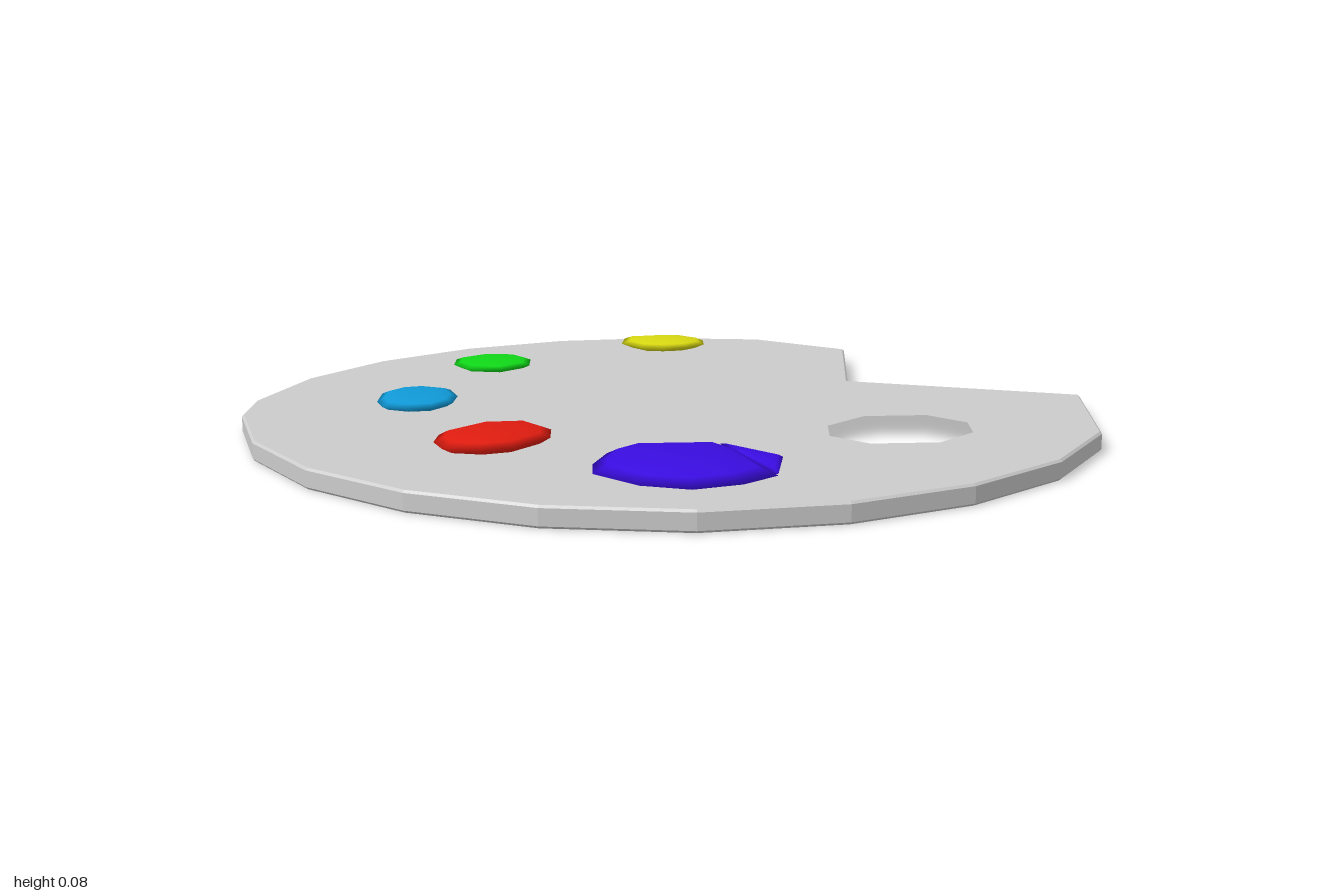
import * as THREE from 'three';

// Corner lists are [x, z] pairs as seen from above.
const OUTLINE = [
  [0, -0.95], [0.29, -0.91], [0.52, -0.73], [0.46, -0.26], [1, -0.06], [0.93, 0.35],
  [0.77, 0.6], [0.55, 0.785], [0.29, 0.905], [0, 0.95], [-0.29, 0.905], [-0.55, 0.785],
  [-0.765, 0.6], [-0.92, 0.355], [-1, 0.08], [-1, -0.08], [-0.92, -0.36], [-0.765, -0.6],
  [-0.545, -0.79], [-0.285, -0.91],
];
const THUMB_HOLE = [
  [0.43, 0.16], [0.58, 0.155], [0.66, 0.24], [0.65, 0.345],
  [0.555, 0.44], [0.4, 0.445], [0.32, 0.365], [0.33, 0.26],
];

// Paint dabs: widest outline plus bottom, rim and top heights
const PAINTS = [
  { name: 'yellowPaint', color: 0xd8d812, y: [0.055, 0.067, 0.081], ring: [
    [-0.1, -0.81], [0.01, -0.835], [0.06, -0.83], [0.12, -0.77], [0.12, -0.7],
    [0.07, -0.65], [0, -0.635], [-0.06, -0.65], [-0.11, -0.72]] },
  { name: 'greenPaint', color: 0x10d818, y: [0.04, 0.053, 0.065], ring: [
    [-0.49, -0.63], [-0.4, -0.62], [-0.36, -0.56], [-0.36, -0.47], [-0.43, -0.4],
    [-0.52, -0.42], [-0.56, -0.49], [-0.56, -0.57]] },
  { name: 'lightBluePaint', color: 0x109ad8, y: [0.04, 0.055, 0.068], ring: [
    [-0.61, -0.175], [-0.54, -0.14], [-0.515, -0.06], [-0.52, 0.02], [-0.56, 0.08],
    [-0.62, 0.09], [-0.68, 0.06], [-0.7, 0], [-0.7, -0.1], [-0.66, -0.16]] },
  { name: 'redPaint', color: 0xe01c10, y: [0.04, 0.058, 0.076], ring: [
    [-0.43, 0.27], [-0.33, 0.26], [-0.28, 0.33], [-0.28, 0.41], [-0.35, 0.5],
    [-0.42, 0.525], [-0.5, 0.505], [-0.525, 0.44], [-0.52, 0.37]] },
  { name: 'violetPaint', color: 0x3a0ce0, y: [0.035, 0.046, 0.071], ring: [
    [-0.16, 0.505], [-0.11, 0.45], [0.08, 0.445], [0.12, 0.51], [0.175, 0.71],
    [0.1, 0.775], [0, 0.81], [-0.1, 0.775], [-0.19, 0.68], [-0.19, 0.6]] },
  { name: 'violetPaintFold', color: 0x3a0ce0, y: [0.04, 0.05, 0.058], ring: [
    [0.08, 0.445], [0.2, 0.57], [0.175, 0.71], [0.11, 0.54]] },
];

const toPoints = (list) => list.map(([x, z]) => new THREE.Vector2(x, -z));

// Lens-shaped dab: the outline scaled into stacked rings, from bottom to top
function dabGeometry(ring, [bottom, rim, top]) {
  const n = ring.length;
  const cx = ring.reduce((s, p) => s + p[0], 0) / n;
  const cz = ring.reduce((s, p) => s + p[1], 0) / n;
  const h = top - rim;
  const levels = [[0, bottom], [0.75, bottom], [1, rim], [0.82, rim + h * 0.6], [0.5, rim + h * 0.92], [0, top]];
  const position = [], index = [];
  for (const [s, y] of levels) {
    for (const [x, z] of ring) position.push(cx + (x - cx) * s, y, cz + (z - cz) * s);
  }
  for (let l = 0; l < levels.length - 1; l++) {
    for (let i = 0; i < n; i++) {
      const a = l * n + i, b = l * n + (i + 1) % n;
      if (l > 0) index.push(a, a + n, b);
      if (l < levels.length - 2) index.push(b, a + n, b + n);
    }
  }
  const geometry = new THREE.BufferGeometry();
  geometry.setAttribute('position', new THREE.Float32BufferAttribute(position, 3));
  geometry.setIndex(index);
  geometry.computeVertexNormals();
  return geometry;
}

export function createModel() {
  const group = new THREE.Group();
  group.name = 'paintPalette';

  // Board with notch and thumb hole, edges slightly eased
  const shape = new THREE.Shape(toPoints(OUTLINE));
  shape.holes.push(new THREE.Path(toPoints(THUMB_HOLE)));
  const bevel = 0.005;
  const boardGeometry = new THREE.ExtrudeGeometry(shape, {
    depth: 0.045 - 2 * bevel, bevelEnabled: true, bevelSegments: 1,
    bevelSize: bevel, bevelThickness: bevel, bevelOffset: -bevel,
  });
  boardGeometry.rotateX(-Math.PI / 2).translate(0, bevel, 0);
  const board = new THREE.Mesh(boardGeometry, new THREE.MeshStandardMaterial({ color: 0xcccccc }));
  board.name = 'board';
  group.add(board);

  // Dabs of paint
  for (const { name, color, y, ring } of PAINTS) {
    const material = new THREE.MeshStandardMaterial({ color, side: THREE.DoubleSide });
    const dab = new THREE.Mesh(dabGeometry(ring, y), material);
    dab.name = name;
    group.add(dab);
  }
  return group;
}
